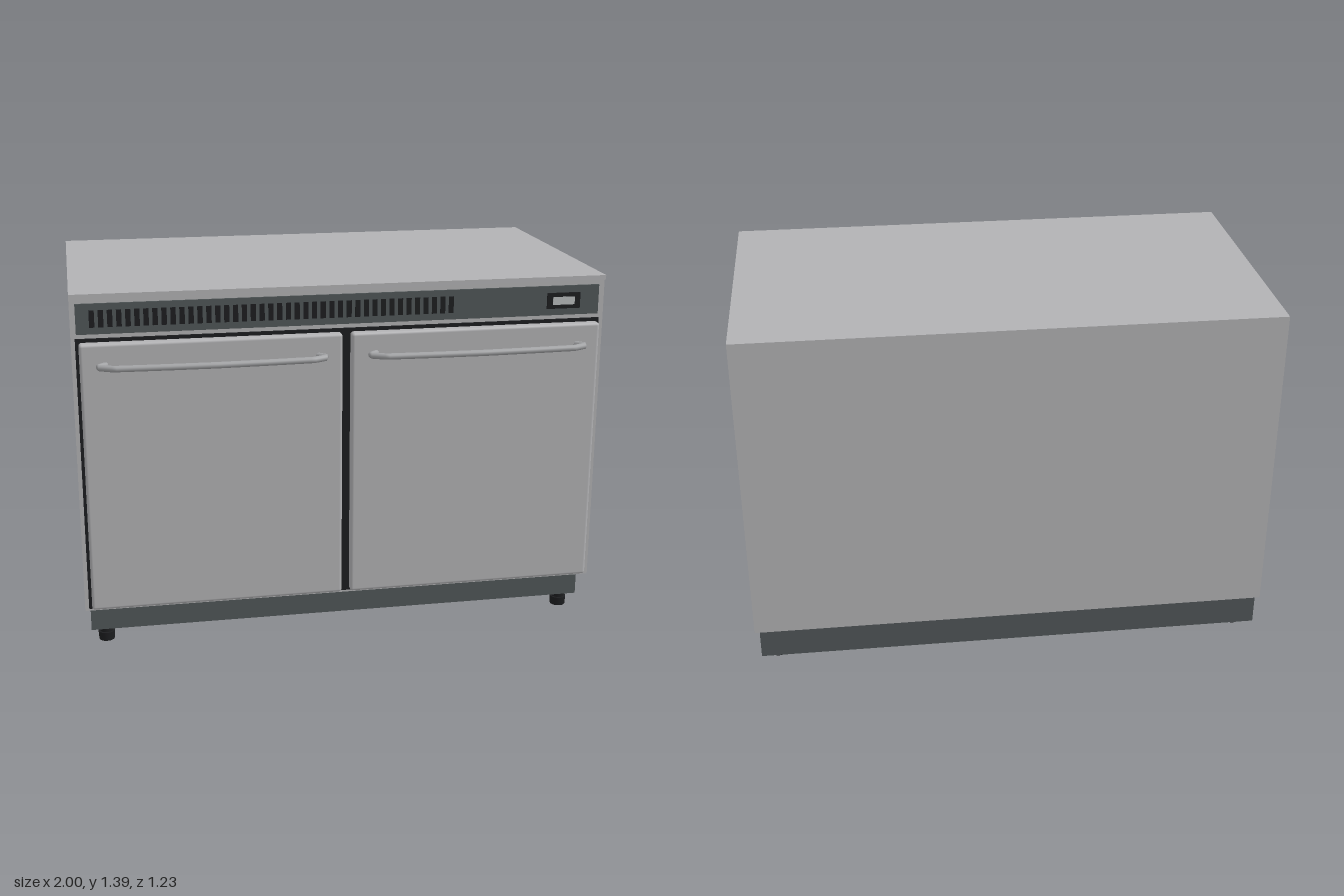
import * as THREE from 'three';
import { RoundedBoxGeometry } from 'three/addons/geometries/RoundedBoxGeometry.js';

function mat(name, color) {
  const m = new THREE.MeshStandardMaterial({ color });
  m.name = name;
  return m;
}

export function createModel() {
  const steel = mat('steel', 0xb2b2b4);
  const handleSteel = mat('handle steel', 0xa2a3a5);
  const slate = mat('slate grey', 0x505658);
  const black = mat('black', 0x1c1d1f);
  const screen = mat('screen grey', 0xb8bcbc);

  const model = new THREE.Group();
  model.name = 'underCounterCabinet';

  function add(name, geometry, material, parent = model) {
    const mesh = new THREE.Mesh(geometry, material);
    mesh.name = name;
    parent.add(mesh);
    return mesh;
  }
  // Box given by its minimum and maximum on each axis
  function box(name, [x0, x1], [y0, y1], [z0, z1], material, parent) {
    const mesh = add(name, new THREE.BoxGeometry(x1 - x0, y1 - y0, z1 - z0), material, parent);
    mesh.position.set((x0 + x1) / 2, (y0 + y1) / 2, (z0 + z1) / 2);
    return mesh;
  }

  // Cabinet, worktop lip and recessed plinth
  box('cabinet', [-1, 1], [0.165, 1.39], [-0.613, 0.487], steel);
  box('worktopLip', [-1, 1], [1.372, 1.39], [0.487, 0.5], steel);
  box('plinth', [-0.98, 0.98], [0.052, 0.165], [-0.612, 0.42], slate);

  // Control panel with vent slots and a small display
  box('controlPanel', [-0.98, 0.977], [1.242, 1.354], [0.487, 0.494], slate);
  const vents = new THREE.Group();
  vents.name = 'ventSlots';
  model.add(vents);
  const slots = 42, pitch = (0.41 + 0.932 - 0.019) / (slots - 1);
  for (let i = 0; i < slots; i++) {
    const x = -0.932 + i * pitch;
    box('ventSlot', [x, x + 0.019], [1.267, 1.33], [0.494, 0.4955], black, vents);
  }
  box('displayFrame', [0.773, 0.902], [1.268, 1.328], [0.494, 0.5], black);
  box('displayScreen', [0.795, 0.88], [1.283, 1.313], [0.5, 0.502], screen);

  // Two doors on one dark seal, each with a bent bar handle
  box('doorSeal', [-0.985, 0.982], [0.176, 1.226], [0.487, 0.495], black);
  const bar = new THREE.CurvePath();
  const points = [[-0.385, 0.53], [-0.416, 0.562], [-0.36, 0.59], [-0.18, 0.597], [0, 0.601],
    [0.18, 0.597], [0.36, 0.59], [0.416, 0.562], [0.385, 0.53]]
    .map(([x, z]) => new THREE.Vector3(x, 0, z));
  for (let i = 1; i < points.length; i++) bar.add(new THREE.LineCurve3(points[i - 1], points[i]));
  const barGeometry = new THREE.TubeGeometry(bar, 72, 0.012, 12);
  for (const side of [-1, 1]) {
    const door = new THREE.Group();
    door.name = side < 0 ? 'rightDoor' : 'leftDoor';
    door.position.x = side * 0.495;
    model.add(door);
    const panel = add('doorPanel', new RoundedBoxGeometry(0.957, 1.03, 0.042, 3, 0.012), steel, door);
    panel.position.set(0, 0.7, 0.513);
    add('handle', barGeometry, handleSteel, door).position.y = 1.136;
  }

  // Four adjustable feet
  for (const x of [-0.922, 0.918]) {
    for (const z of [0.388, -0.517]) {
      const foot = new THREE.Group();
      foot.name = 'foot';
      foot.position.set(x, 0, z);
      model.add(foot);
      add('footPad', new THREE.CylinderGeometry(0.032, 0.03, 0.034, 16), black, foot).position.y = 0.017;
      add('footStem', new THREE.CylinderGeometry(0.024, 0.024, 0.02, 16), black, foot).position.y = 0.043;
    }
  }
  return model;
}
